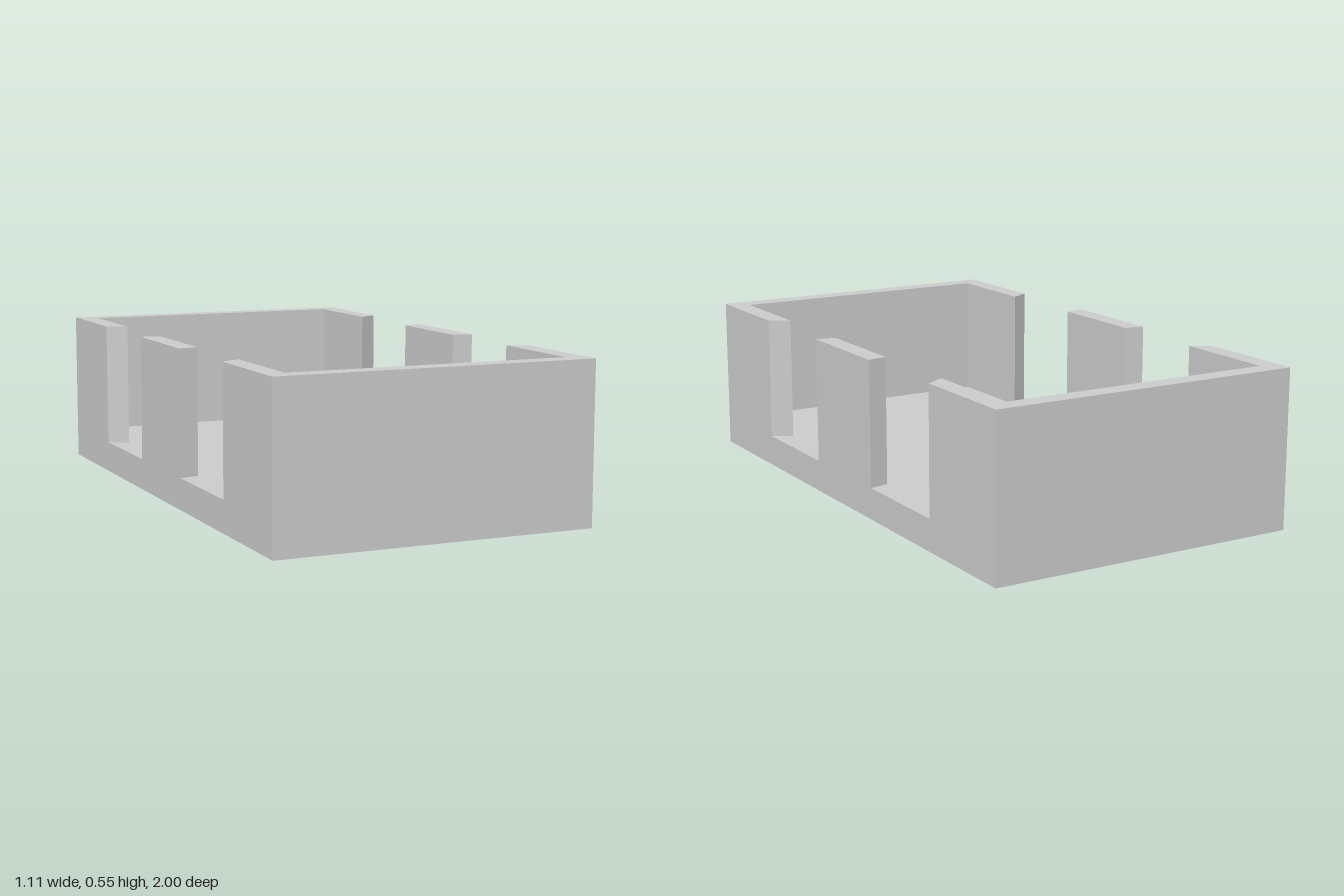
import * as THREE from 'three';

const W = 0.555, L = 1;            // outer half width and half length
const IW = 0.486, IL = 0.931;      // inner half width and half length
const FLOOR = 0.11, TOP = 0.548;   // floor level and wall top

export function createModel() {
  const group = new THREE.Group();
  group.name = 'openTray';
  const material = new THREE.MeshStandardMaterial({ color: 0xcccccc, flatShading: true });

  // Raises a plan outline of [x, z] points from y0 to y1
  const raise = (name, outline, y0, y1) => {
    const shape = new THREE.Shape(outline.map(([x, z]) => new THREE.Vector2(x, -z)));
    const geometry = new THREE.ExtrudeGeometry(shape, { depth: y1 - y0, bevelEnabled: false });
    geometry.rotateX(-Math.PI / 2).translate(0, y0, 0);
    const mesh = new THREE.Mesh(geometry, material);
    mesh.name = name;
    group.add(mesh);
  };

  // Base slab
  raise('base', [[-W, -L], [W, -L], [W, L], [-W, L]], 0, FLOOR);

  // U-shaped end walls with slanted jambs
  for (const [name, s] of [['frontWall', 1], ['backWall', -1]]) {
    raise(name, [
      [-W, 0.6], [-W, L], [W, L], [W, 0.6],
      [IW, 0.56], [IW, IL], [-IW, IL], [-IW, 0.56],
    ].map(([x, z]) => [x, z * s]), FLOOR, TOP);
  }

  // Side wall pieces between the openings, slightly narrower inside
  for (const [name, s] of [['leftPier', 1], ['rightPier', -1]]) {
    raise(name, [[W, -0.2], [W, 0.2], [IW, 0.186], [IW, -0.186]]
      .map(([x, z]) => [x * s, z]), FLOOR, TOP);
  }
  return group;
}
